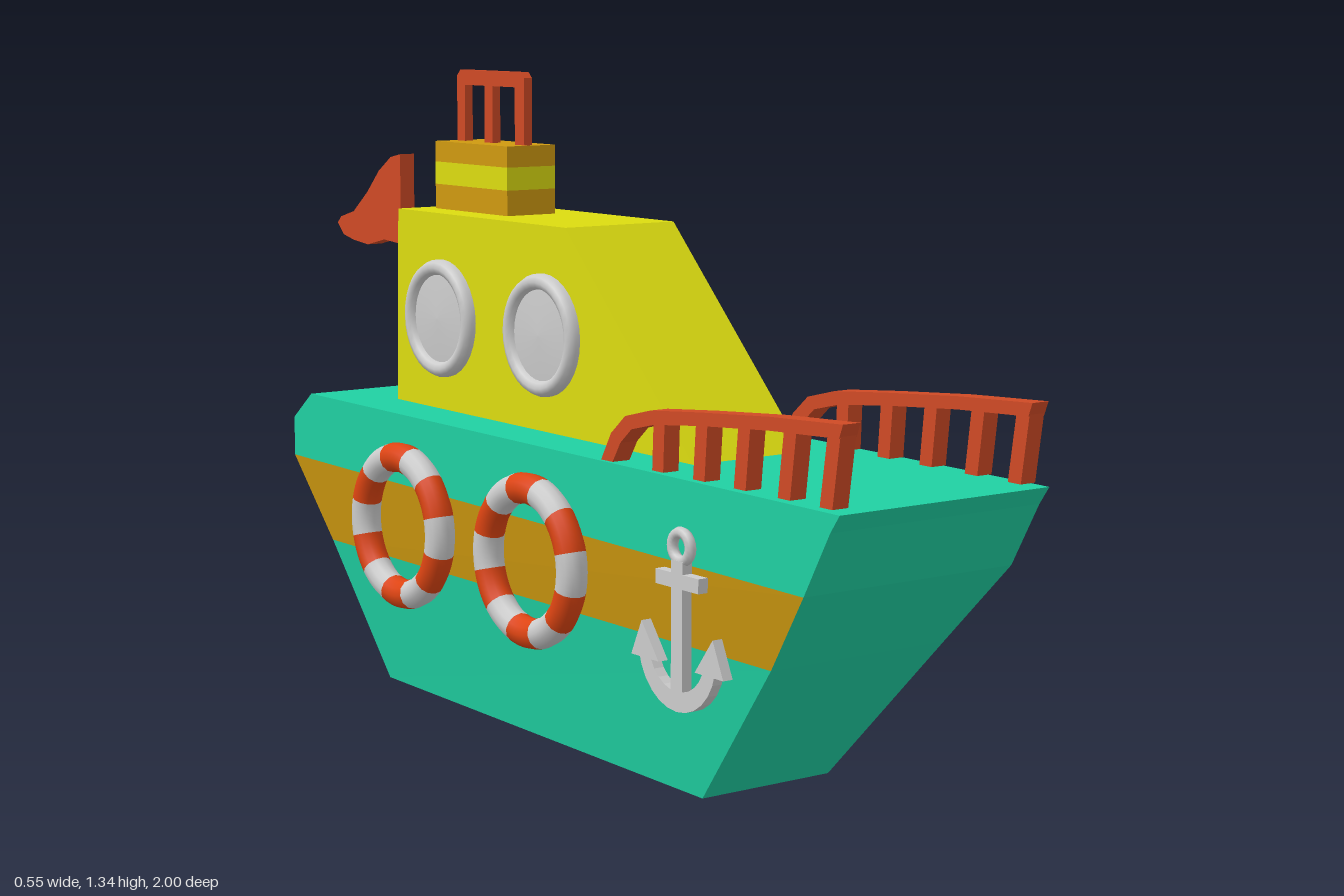
import * as THREE from 'three';

const material = (color) => new THREE.MeshStandardMaterial({ color, side: THREE.DoubleSide });
const flat = (color) => {
  const m = material(color);
  m.flatShading = true;
  return m;
};
const TEAL = flat(0x1fd0a2), YELLOW = flat(0xdcdc10), GOLD = flat(0xcf9a10), RED = flat(0xcf4a25);
const GREY = flat(0xcccccc), GREY_SMOOTH = material(0xcccccc);
const ORANGE = material(0xdd4412), WHITE = material(0xdddddd);

function add(parent, name, geometry, mat, x = 0, y = 0, z = 0) {
  const mesh = new THREE.Mesh(geometry, mat);
  mesh.name = name;
  mesh.position.set(x, y, z);
  parent.add(mesh);
  return mesh;
}

function group(parent, name, x = 0, y = 0, z = 0) {
  const g = new THREE.Group();
  g.name = name;
  g.position.set(x, y, z);
  parent.add(g);
  return g;
}

// Side profile of [z, y] points, extruded from x0 to x1
function profile(points, x0, x1, holes = []) {
  const toPath = (list, Type) => new Type(list.map(([z, y]) => new THREE.Vector2(z, y)));
  const shape = toPath(points, THREE.Shape);
  shape.holes = holes.map((h) => toPath(h, THREE.Path));
  return new THREE.ExtrudeGeometry(shape, { depth: x1 - x0, bevelEnabled: false })
    .rotateY(-Math.PI / 2).translate(x1, 0, 0);
}

function facets(quads) {
  const pos = [];
  for (const [a, b, c, d] of quads) for (const p of [a, b, c, a, c, d]) pos.push(...p);
  const g = new THREE.BufferGeometry();
  g.setAttribute('position', new THREE.Float32BufferAttribute(pos, 3));
  g.computeVertexNormals();
  return g;
}

// Hull lofted through levels, with one painted strake on the -x side
function buildHull(parent) {
  // front y, back y, front z, back z, min x, max x
  const levels = [
    [0, 0.02, 0.53, -0.585, -0.155, 0.155],
    [0.3, 0.305, 0.78, -0.755, -0.195, 0.225],
    [0.46, 0.485, 0.905, -0.865, -0.225, 0.275],
    [0.585, 0.57, 0.975, -0.865, -0.225, 0.275],
    [0.62, 0.63, 1, -0.79, -0.225, 0.275],
  ].map(([yf, yb, zf, zb, x0, x1]) => [[x1, yf, zf], [x1, yb, zb], [x0, yb, zb], [x0, yf, zf]]);
  const hull = [[...levels[0]].reverse(), levels[4]], stripe = [];
  for (let i = 0; i < 4; i++) {
    for (let j = 0; j < 4; j++) {
      const k = (j + 1) % 4;
      const quad = [levels[i][j], levels[i][k], levels[i + 1][k], levels[i + 1][j]];
      (i === 1 && j === 2 ? stripe : hull).push(quad);
    }
  }
  add(parent, 'hull', facets(hull), TEAL);
  add(parent, 'hullStripe', facets(stripe), GOLD);
}

// Bow railing: curved handrail on five short posts
function buildRailing(parent, name, x) {
  const g = group(parent, name, x);
  const rail = [
    [1, 0.778], [0.8, 0.768], [0.6, 0.752], [0.45, 0.738], [0.37, 0.718], [0.325, 0.68], [0.293, 0.625],
    [0.33, 0.625], [0.355, 0.665], [0.39, 0.695], [0.46, 0.712], [0.6, 0.727], [0.8, 0.743], [0.99, 0.752],
  ];
  add(g, 'handrail', profile(rail, -0.02, 0.02), RED);
  [0.955, 0.84, 0.715, 0.595, 0.47].forEach((z, i) => {
    const lean = 0.02 - i * 0.004, top = 0.76 - i * 0.01;
    add(g, 'railPost', profile([
      [z - 0.017, 0.625], [z + 0.017, 0.625], [z + 0.017 + lean, top], [z - 0.017 + lean, top],
    ], -0.018, 0.018), RED);
  });
}

// Life ring of alternating red and white arcs
function buildLifeRing(parent, z) {
  const g = group(parent, 'lifeRing', -0.248, 0.398, z);
  const arc = Math.PI / 6;
  for (let i = 0; i < 12; i++) {
    const geo = new THREE.TorusGeometry(0.145, 0.031, 12, 6, arc)
      .rotateZ((i - 0.5) * arc).rotateY(Math.PI / 2);
    add(g, i % 2 ? 'ringRedSection' : 'ringWhiteSection', geo, i % 2 ? ORANGE : WHITE);
  }
}

// Porthole: domed glass within a rounded rim, facing -x
function buildPorthole(parent, z) {
  const g = group(parent, 'porthole', -0.108, 0.823, z);
  const rim = [[0.125, 0], [0.125, 0.012], [0.119, 0.023], [0.108, 0.027], [0.097, 0.022], [0.092, 0.01]];
  const turn = (pts) => new THREE.LatheGeometry(pts.map(([r, h]) => new THREE.Vector2(r, h)), 32)
    .rotateZ(Math.PI / 2);
  add(g, 'portholeRim', turn(rim), GREY_SMOOTH);
  add(g, 'portholeGlass', turn([[0.094, 0.012], [0.05, 0.016], [0, 0.018]]), GREY_SMOOTH);
}

// Anchor, flat against the -x side
function buildAnchor(parent) {
  const g = group(parent, 'anchor', -0.238, 0, 0.57);
  const a = 0.011;
  add(g, 'anchorEye', new THREE.TorusGeometry(0.027, 0.011, 8, 20).rotateY(Math.PI / 2), GREY_SMOOTH, 0, 0.5, 0);
  add(g, 'anchorShank', new THREE.BoxGeometry(0.022, 0.26, 0.034), GREY, 0, 0.345, 0);
  add(g, 'anchorStock', new THREE.BoxGeometry(0.022, 0.028, 0.13), GREY, 0, 0.437, 0);
  const outer = [], inner = [];
  for (let i = 0; i <= 12; i++) {
    const t = Math.PI * (1.06 + 0.88 * i / 12);
    outer.push([0.118 * Math.cos(t), 0.308 + 0.118 * Math.sin(t)]);
    inner.unshift([0.085 * Math.cos(t), 0.308 + 0.08 * Math.sin(t)]);
  }
  add(g, 'anchorArms', profile([...outer, ...inner], -a, a), GREY);
  for (const s of [-1, 1]) {
    add(g, 'anchorFluke', profile([[s * 0.14, 0.275], [s * 0.055, 0.275], [s * 0.108, 0.345]], -a, a), GREY);
  }
}

export function createModel() {
  const model = new THREE.Group();
  model.name = 'toyBoat';
  buildHull(model);

  // Cabin and striped funnel
  add(model, 'cabin', profile([[0.44, 0.622], [0.02, 1.045], [-0.605, 1.045], [-0.615, 0.625]], -0.11, 0.16), YELLOW);
  const funnel = group(model, 'funnel', 0.022, 0, -0.428);
  [[1.045, 1.098, GOLD], [1.098, 1.146, YELLOW], [1.146, 1.19, GOLD]].forEach(([y0, y1, mat]) => {
    add(funnel, 'funnelBand', new THREE.BoxGeometry(0.122, y1 - y0, 0.275), mat, 0, (y0 + y1) / 2, 0);
  });

  // Frame on the funnel
  const frame = [
    [-0.303, 1.19], [-0.303, 1.33], [-0.315, 1.342], [-0.545, 1.342], [-0.558, 1.33], [-0.558, 1.19],
  ];
  const opening = [[-0.338, 1.19], [-0.338, 1.31], [-0.528, 1.31], [-0.528, 1.19]];
  add(model, 'funnelFrame', profile([...frame, ...opening.reverse()], 0.013, 0.033), RED);
  add(model, 'funnelFramePost', new THREE.BoxGeometry(0.02, 0.125, 0.03), RED, 0.023, 1.2525, -0.437);

  // Stern flag
  add(model, 'flagPole', new THREE.BoxGeometry(0.018, 0.36, 0.018), TEAL, -0.008, 0.8, -0.741);
  add(model, 'flag', profile([
    [-0.73, 1.153], [-0.77, 1.145], [-0.82, 1.112], [-0.87, 1.062], [-0.93, 1.015], [-0.985, 1],
    [-1, 0.985], [-0.975, 0.96], [-0.93, 0.95], [-0.87, 0.944], [-0.8, 0.96], [-0.73, 0.955],
  ], -0.026, 0.01), RED);

  buildRailing(model, 'rightRailing', -0.2);
  buildRailing(model, 'leftRailing', 0.248);
  for (const z of [-0.38, 0.09]) buildLifeRing(model, z);
  for (const z of [-0.43, -0.055]) buildPorthole(model, z);
  buildAnchor(model);
  return model;
}
